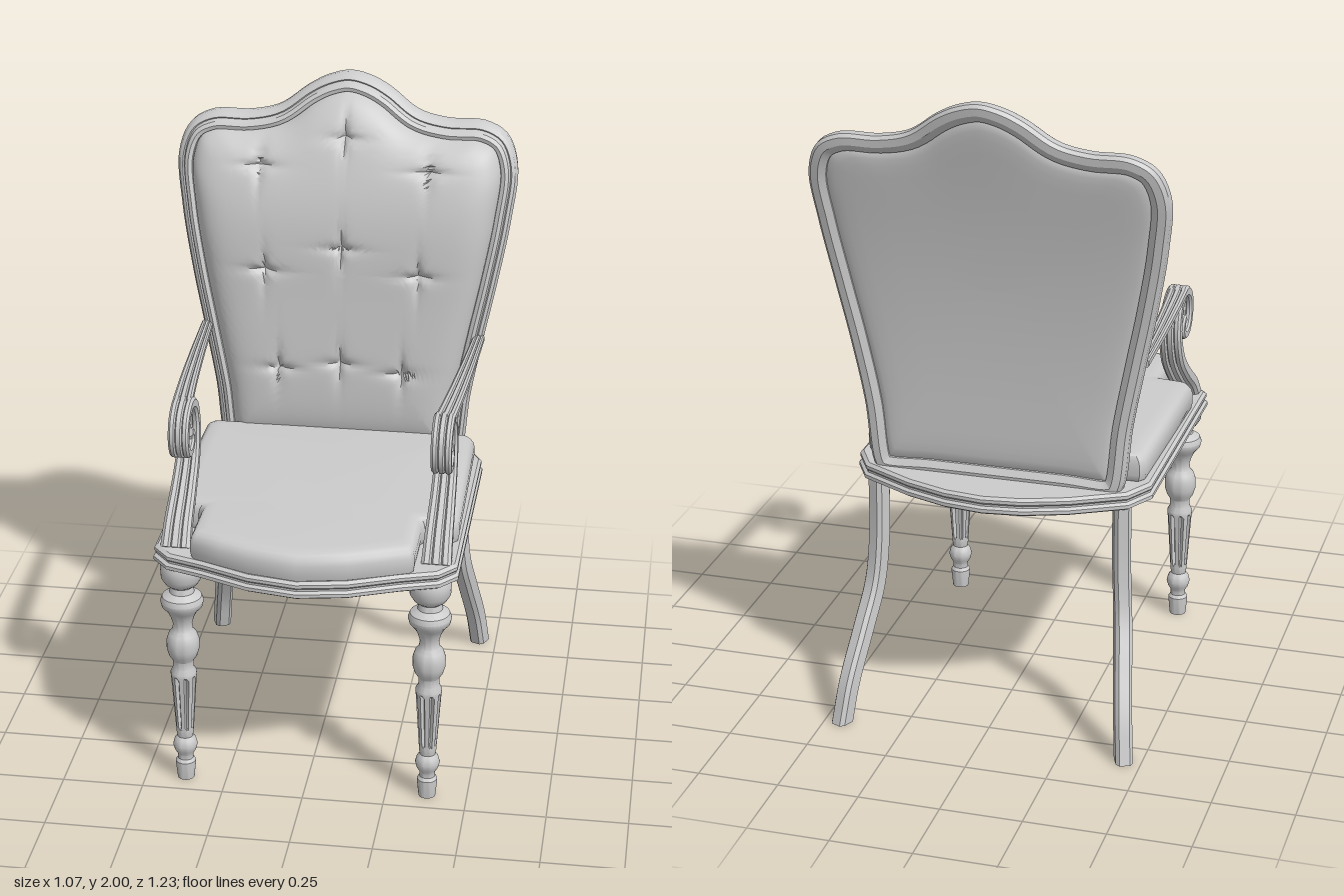
import * as THREE from 'three';
import { toCreasedNormals } from 'three/addons/utils/BufferGeometryUtils.js';

const V = (x, y, z) => new THREE.Vector3(x, y, z);
const material = new THREE.MeshStandardMaterial({ color: 0xcccccc });

function part(parent, name, geometry) {
  const mesh = new THREE.Mesh(geometry, material);
  mesh.name = name;
  parent.add(mesh);
  return mesh;
}

// Skin a list of closed rings, cap both ends and turn all faces outward.
function loft(rings, crease = 0.6, closed = false) {
  const n = rings[0].length, m = rings.length, pos = rings.flat(), tris = [];
  for (let i = 0; i < (closed ? m : m - 1); i++) {
    for (let j = 0; j < n; j++) {
      const k = (j + 1) % n, a = i * n, b = ((i + 1) % m) * n;
      tris.push([a + j, a + k, b + k], [a + j, b + k, b + j]);
    }
  }
  if (!closed) {
    for (const end of [0, m - 1]) {
      const c = V(0, 0, 0);
      rings[end].forEach(p => c.addScaledVector(p, 1 / n));
      pos.push(c);
      for (let j = 0; j < n; j++) {
        const a = end * n + j, b = end * n + (j + 1) % n;
        tris.push(end ? [a, b, pos.length - 1] : [b, a, pos.length - 1]);
      }
    }
  }
  let volume = 0;
  const cross = V(0, 0, 0);
  for (const [a, b, c] of tris) volume += pos[a].dot(cross.crossVectors(pos[b], pos[c]));
  const geometry = new THREE.BufferGeometry().setFromPoints(pos);
  geometry.setIndex(tris.flatMap(t => (volume < 0 ? [t[0], t[2], t[1]] : t)));
  return toCreasedNormals(geometry, crease);
}

// Slab from half an outline in x,z (front to rear) and a list of [inset, y].
function slab(half, profile, crease) {
  const mirrored = half.filter(p => p[0] > 0).reverse().map(([x, z]) => [-x, z]);
  const outline = [...half, ...mirrored];
  return loft(profile.map(([d, y]) =>
    outline.map(([x, z]) => V(x * (1 - d / 0.45), y, z * (1 - d / 0.55)))), crease);
}

// Linear interpolation through evenly spaced values.
function along(values, t) {
  const f = t * (values.length - 1), i = Math.min(Math.floor(f), values.length - 2);
  return values[i] + (values[i + 1] - values[i]) * (f - i);
}

// Reeded strip along a path: three ridges on each broad side.
const ridge = [[-1, 0.3], [-0.78, 0.5], [-0.46, 0.5], [-0.33, 0.28], [-0.2, 0.5],
  [0.2, 0.5], [0.33, 0.28], [0.46, 0.5], [0.78, 0.5], [1, 0.3]];
const reeded = [...ridge, ...ridge.map(([u, v]) => [-u, -v])];
function strip(points, side, widths, thicknesses, steps) {
  const curve = new THREE.CatmullRomCurve3(points.map(p => V(p[0] * side, p[1], p[2])));
  const rings = [];
  for (let i = 0; i <= steps; i++) {
    const t = i / steps, p = curve.getPointAt(t), d = curve.getTangentAt(t);
    const normal = V(0, -d.z, d.y).normalize();
    const w = along(widths, t) / 2, h = along(thicknesses, t);
    rings.push(reeded.map(([u, v]) => V(p.x + u * w, p.y, p.z).addScaledVector(normal, v * h)));
  }
  return loft(rings, 0.5);
}

// Backward lean of the backrest.
const lean = y => -0.38 - 0.165 * Math.pow(Math.max(0, (y - 0.9) / 1.1), 2.2);

// Backrest outline, and the same outline moved inward.
const backHalf = [[0, 2], [0.07, 1.985], [0.13, 1.955], [0.22, 1.893], [0.31, 1.872], [0.43, 1.868],
  [0.5, 1.83], [0.535, 1.74], [0.522, 1.58], [0.487, 1.38], [0.45, 1.2], [0.412, 1.0],
  [0.385, 0.8], [0.36, 0.775], [0.2, 0.775]];
const backCurve = new THREE.CatmullRomCurve3([...backHalf,
  ...backHalf.slice(1).reverse().map(([x, y]) => [-x, y])].map(([x, y]) => V(x, y, 0)), true);
const backOutline = backCurve.getSpacedPoints(200).slice(0, 200);
function insetPoint(i, d) {
  const n = backOutline.length, p = backOutline[i];
  const t = backOutline[(i + 1) % n].clone().sub(backOutline[(i + n - 1) % n]).normalize();
  return V(p.x + t.y * d, p.y - t.x * d, 0);
}

function backFrame() {
  const section = [[0.002, -0.025], [0, 0], [0.008, 0.018], [0.018, 0.024], [0.022, 0.02], [0.027, 0.036],
    [0.038, 0.042], [0.05, 0.036], [0.056, 0.015], [0.056, -0.03], [0.035, -0.042], [0.012, -0.038]];
  return loft(backOutline.map((_, i) => section.map(([d, w]) => {
    const p = insetPoint(i, d);
    return p.setZ(lean(p.y) + w);
  })), 0.5, true);
}

// Buttoned front pad and plain rear panel in one body.
const buttons = [[0, 1.825], [0, 1.49], [0, 1.11]];
for (const s of [-1, 1]) buttons.push([0.265 * s, 1.735], [0.243 * s, 1.41], [0.197 * s, 1.085]);
function tuft(x, y) {
  let depth = 0;
  for (const [bx, by] of buttons) {
    const dx = Math.abs(x - bx), dy = Math.abs(y - by);
    depth = Math.max(depth, Math.exp(-dx / 0.012 - dy / 0.04), Math.exp(-dx / 0.035 - dy / 0.012));
  }
  return 0.04 * depth;
}
function backPad() {
  const rim = backOutline.map((_, i) => insetPoint(i, 0.046));
  const ring = (s, depth) => rim.map(p => {
    const x = p.x * s, y = 1.4 + (p.y - 1.4) * s;
    return V(x, y, lean(y) + depth(x, y));
  });
  const rings = [];
  for (let i = 0; i <= 52; i++) {
    const s = 0.01 + 0.99 * Math.pow(i / 52, 0.85), dome = Math.sqrt(Math.max(0, 1 - s ** 10));
    rings.push(ring(s, (x, y) =>
      dome * (0.088 + 0.025 * Math.exp(-(((y - 1.6) / 0.22) ** 2))) - tuft(x, y)));
  }
  for (const s of [1, 0.97, 0.93, 0.88, 0.8, 0.6, 0.3, 0.01]) {
    const dome = Math.sqrt(Math.max(0, 1 - s ** 10));
    rings.push(ring(s, () => -0.015 - 0.022 * dome));
  }
  return loft(rings, 0.9);
}

// Turned front leg with flutes cut into the tapered shaft.
function turnedLeg() {
  const profile = [[0, 0], [0.026, 0], [0.031, 0.05], [0.031, 0.06], [0.024, 0.07], [0.024, 0.085],
    [0.033, 0.1], [0.038, 0.118], [0.033, 0.137], [0.024, 0.148], [0.027, 0.165], [0.027, 0.175],
    [0.028, 0.185], [0.039, 0.355], [0.04, 0.365], [0.04, 0.375], [0.032, 0.39], [0.032, 0.415],
    [0.043, 0.432], [0.05, 0.455], [0.05, 0.485], [0.043, 0.507], [0.032, 0.52], [0.029, 0.54],
    [0.036, 0.565], [0.046, 0.585], [0.062, 0.603], [0.066, 0.62], [0.06, 0.636], [0.038, 0.65],
    [0.034, 0.668], [0.05, 0.68], [0.062, 0.7], [0.064, 0.735], [0.058, 0.75], [0, 0.75]];
  const geometry = new THREE.LatheGeometry(profile.map(p => new THREE.Vector2(...p)), 32);
  const pos = geometry.attributes.position, rows = profile.length;
  for (let i = 0; i < pos.count; i++) {
    const y = pos.getY(i), column = Math.floor(i / rows);
    if (y > 0.18 && y < 0.36 && column % 4 === 2) {
      pos.setX(i, pos.getX(i) * 0.75);
      pos.setZ(i, pos.getZ(i) * 0.75);
    }
  }
  return toCreasedNormals(geometry, 0.6);
}

// Swept rear leg with a rounded square section turned outward.
function rearLeg(side) {
  const curve = new THREE.CatmullRomCurve3([V(0.38, 0.77, -0.38), V(0.382, 0.55, -0.383),
    V(0.392, 0.4, -0.402), V(0.41, 0.27, -0.468), V(0.432, 0.12, -0.548), V(0.445, 0, -0.585)]);
  const corner = [[1, 0.6], [0.6, 1], [-0.6, 1], [-1, 0.6], [-1, -0.6], [-0.6, -1], [0.6, -1], [1, -0.6]];
  const c = Math.cos(0.4), s = Math.sin(0.4), rings = [];
  for (let i = 0; i <= 24; i++) {
    const p = curve.getPoint(i / 24), slope = 1 - Math.abs(curve.getTangent(i / 24).y);
    rings.push(corner.map(([u, v]) => {
      const a = u * 0.026, b = v * (0.03 + slope * 0.03);
      return V(side * (p.x + a * c - b * s), p.y, p.z + a * s + b * c);
    }));
  }
  return loft(rings, 0.5);
}

export function createModel() {
  const chair = new THREE.Group();
  chair.name = 'armchair';

  // Seat board with moulded edge, and its cushion notched around the arms
  part(chair, 'seatBoard', slab([[0, 0.612], [0.15, 0.585], [0.3, 0.522], [0.41, 0.485], [0.46, 0.425],
    [0.46, -0.33], [0.41, -0.42], [0.25, -0.505], [0.12, -0.55], [0, -0.565]],
  [[0.01, 0.745], [0, 0.752], [0, 0.763], [0.008, 0.77], [0.008, 0.776], [0.003, 0.782],
    [0.003, 0.792], [0.012, 0.8]], 0.4));
  part(chair, 'seatCushion', slab([[0, 0.605], [0.15, 0.575], [0.24, 0.54], [0.325, 0.505], [0.335, 0.49],
    [0.335, 0.315], [0.345, 0.3], [0.43, 0.29], [0.445, 0.27], [0.435, -0.31], [0.42, -0.33], [0, -0.33]],
  [[0.02, 0.79], [0.004, 0.802], [0, 0.82], [0, 0.85], [0.005, 0.867], [0.014, 0.879],
    [0.028, 0.885], [0.06, 0.887]], 0.7));

  // Backrest
  part(chair, 'backFrame', backFrame());
  part(chair, 'backPad', backPad());

  // Legs and arms on both sides
  const leg = turnedLeg();
  for (const side of [1, -1]) {
    const label = side > 0 ? 'left' : 'right';
    part(chair, label + 'FrontLeg', leg).position.set(0.377 * side, 0, 0.422);
    part(chair, label + 'RearLeg', rearLeg(side));
    const scroll = [[0.42, 0.79], [0.37, 0.85], [0.28, 0.92], [0.2, 1.0], [0.17, 1.09], [0.195, 1.165],
      [0.26, 1.193], [0.32, 1.165], [0.338, 1.11], [0.315, 1.06], [0.27, 1.048], [0.238, 1.072],
      [0.245, 1.1], [0.264, 1.105]].map(([z, y]) => [0.393, y, z]);
    part(chair, label + 'ArmScroll', strip(scroll, side,
      [0.09, 0.075, 0.065, 0.062, 0.06], [0.045, 0.042, 0.038, 0.032, 0.026], 72));
    part(chair, label + 'ArmRail', strip([[0.395, 1.196, 0.26], [0.408, 1.197, 0.1],
      [0.422, 1.197, -0.12], [0.435, 1.197, -0.37]], side, [0.06, 0.035], [0.026, 0.024], 12));
  }
  return chair;
}
